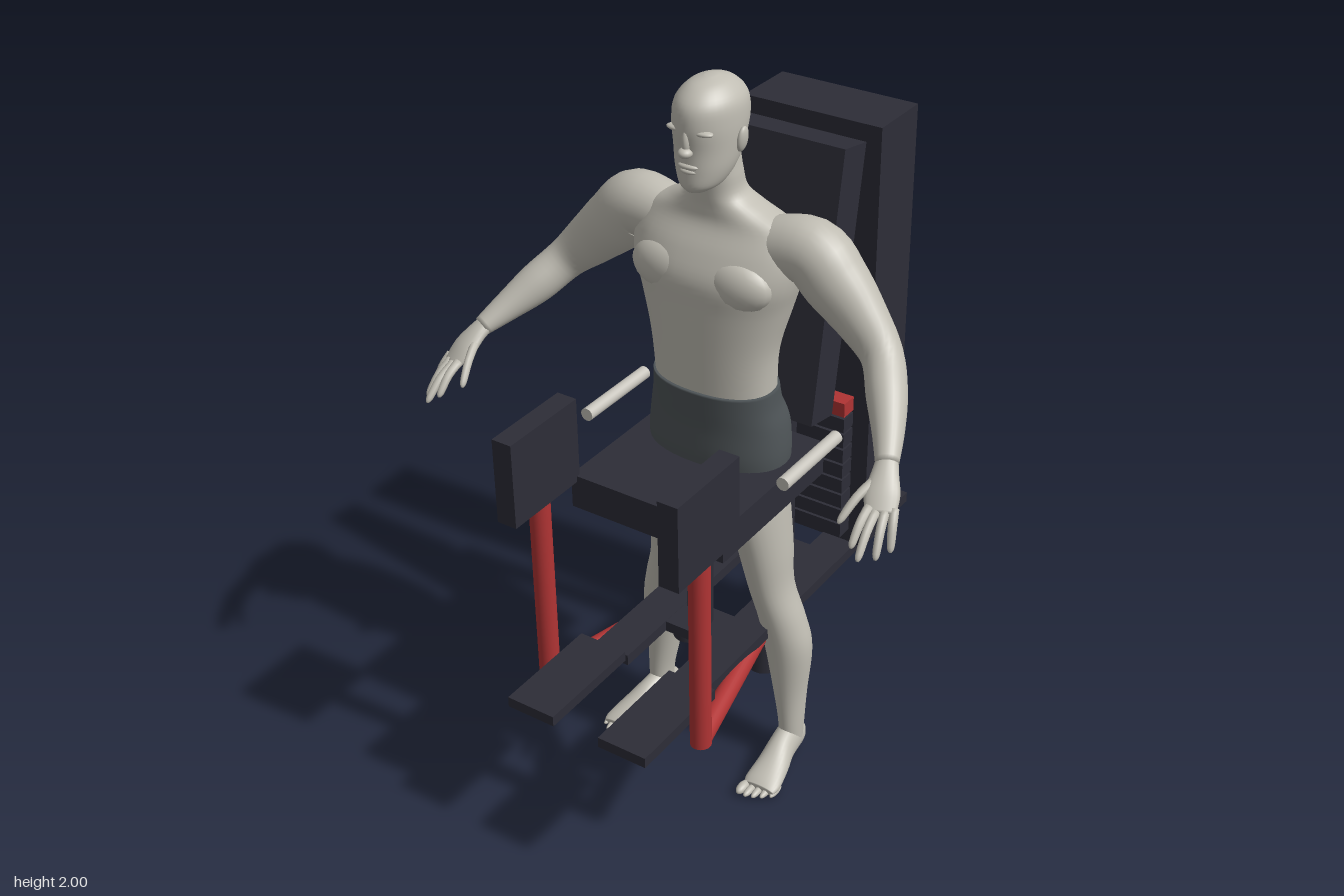
import * as THREE from 'three';

const mat = (name, color) => {
  const m = new THREE.MeshStandardMaterial({ color });
  m.name = name;
  return m;
};

export function createModel() {
  const dark = mat('charcoal', 0x2d2d37);
  const red = mat('red paint', 0xb03434);
  const skin = mat('pale clay', 0xc0bdb3);
  const cloth = mat('shorts grey', 0x4e5457);
  const grip = mat('light grip', 0xc6c3bb);

  const root = new THREE.Group();
  const machine = new THREE.Group();
  machine.name = 'exerciseMachine';
  const figure = new THREE.Group();
  figure.name = 'standingFigure';
  root.add(machine, figure);

  const add = (parent, name, geo, material, x = 0, y = 0, z = 0) => {
    const m = new THREE.Mesh(geo, material);
    m.name = name;
    m.position.set(x, y, z);
    parent.add(m);
    return m;
  };
  // Box given by its min and max on each axis
  const box = (name, material, x0, x1, y0, y1, z0, z1) =>
    add(machine, name, new THREE.BoxGeometry(x1 - x0, y1 - y0, z1 - z0), material,
      (x0 + x1) / 2, (y0 + y1) / 2, (z0 + z1) / 2);
  // Cylinder between two points
  const rod = (name, material, a, b, r) => {
    const p = new THREE.Vector3(...a), q = new THREE.Vector3(...b);
    const d = q.clone().sub(p);
    const m = add(machine, name, new THREE.CylinderGeometry(r, r, d.length(), 24), material);
    m.position.copy(p).add(q).multiplyScalar(0.5);
    m.quaternion.setFromUnitVectors(new THREE.Vector3(0, 1, 0), d.normalize());
  };
  const blob = (name, material, x, y, z, rx, ry, rz) => {
    const g = new THREE.SphereGeometry(1, 20, 14);
    g.scale(rx, ry, rz);
    return add(figure, name, g, material, x, y, z);
  };
  // Smooth body through stations [x, y, z, half width, half depth];
  // level keeps the rings horizontal, power below 1 squares them off
  const loft = (name, material, stations, { level = false, power = 1, seg = 28, sub = 5 } = {}) => {
    const n = stations.length;
    const at = (i) => stations[Math.max(0, Math.min(n - 1, i))];
    const rows = [];
    for (let i = 0; i < n - 1; i++) {
      for (let k = 0; k < sub; k++) {
        const t = k / sub;
        rows.push(at(i).map((b, c) => {
          const a = at(i - 1)[c], d = at(i + 1)[c], e = at(i + 2)[c];
          return b + 0.5 * t * (d - a + t * (2 * a - 5 * b + 4 * d - e + t * (3 * (b - d) + e - a)));
        }));
      }
    }
    rows.push(at(n - 1));
    const pos = [], idx = [];
    const up = new THREE.Vector3(0, 1, 0);
    const centre = (r) => new THREE.Vector3(r[0], r[1], r[2]);
    const bend = (v) => Math.sign(v) * Math.abs(v) ** power;
    rows.forEach((r, i) => {
      const u = new THREE.Vector3(1, 0, 0), v = new THREE.Vector3(0, 0, 1);
      if (!level) {
        const t = centre(rows[Math.min(i + 1, rows.length - 1)])
          .sub(centre(rows[Math.max(i - 1, 0)])).normalize();
        u.crossVectors(t, up).normalize();
        v.crossVectors(u, t);
      }
      for (let j = 0; j < seg; j++) {
        const a = (j / seg) * Math.PI * 2;
        const p = centre(r).addScaledVector(u, r[3] * bend(Math.cos(a)))
          .addScaledVector(v, r[4] * bend(Math.sin(a)));
        pos.push(p.x, p.y, p.z);
        if (i < rows.length - 1) {
          const A = i * seg + j, B = i * seg + (j + 1) % seg;
          idx.push(A, A + seg, B, B, A + seg, B + seg);
        }
      }
    });
    const last = (rows.length - 1) * seg, c0 = rows.length * seg;
    pos.push(...rows[0].slice(0, 3), ...rows[rows.length - 1].slice(0, 3));
    for (let j = 0; j < seg; j++) {
      const k = (j + 1) % seg;
      idx.push(c0, j, k, c0 + 1, last + k, last + j);
    }
    const g = new THREE.BufferGeometry();
    g.setAttribute('position', new THREE.Float32BufferAttribute(pos, 3));
    g.setIndex(idx);
    g.computeVertexNormals();
    return add(figure, name, g, material);
  };

  // Machine: tower, pads, posts and weights
  box('weightTower', dark, -0.205, 0.205, 0.455, 1.745, -0.582, -0.393);
  const back = add(machine, 'backPad', new THREE.BoxGeometry(0.41, 0.74, 0.107), dark, 0, 1.382, -0.196);
  back.rotation.x = -Math.PI / 18;
  box('seat', dark, -0.23, 0.23, 0.88, 0.977, -0.103, 0.377);
  rod('rearPost', dark, [0, 0.45, -0.283], [0, 1.38, -0.283], 0.035);
  rod('frontPost', dark, [0, 0.45, 0.137], [0, 0.9, 0.137], 0.035);
  for (let i = 0; i < 9; i++) {
    const y = 0.5 + i * 0.05;
    box(i === 8 ? 'topWeight' : 'weightPlate', i === 8 ? red : dark, -0.155, 0.155, y, y + 0.043, -0.4, -0.343);
  }
  box('frontCrossPlate', dark, -0.1, 0.1, 0.426, 0.457, 0.08, 0.2);
  box('rearCrossPlate', dark, -0.1, 0.1, 0.426, 0.457, -0.32, -0.23);

  for (const s of [-1, 1]) {
    const sideBox = (name, m, x0, x1, ...rest) =>
      box(name, m, Math.min(s * x0, s * x1), Math.max(s * x0, s * x1), ...rest);
    // Base rails, foot plates, swinging leg arms and handles
    sideBox('baseRail', dark, 0.072, 0.178, 0.426, 0.458, -0.705, 0.377);
    sideBox('footPlate', dark, 0.07, 0.213, 0.452, 0.482, 0.39, 0.702);
    sideBox('kneePad', dark, 0.212, 0.269, 0.96, 1.2, 0.365, 0.625);
    rod('pivotBarrel', dark, [s * 0.125, 0.27, 0.01], [s * 0.125, 0.43, 0.01], 0.046);
    rod('pivotTube', dark, [s * 0.125, 0.41, 0.01], [s * 0.125, 0.41, -0.34], 0.026);
    rod('swingArm', red, [s * 0.125, 0.41, 0.01], [s * 0.24, 0.41, 0.497], 0.028);
    rod('padPost', red, [s * 0.24, 0.395, 0.497], [s * 0.24, 0.965, 0.497], 0.028);
    rod('handle', grip, [s * 0.298, 1.047, -0.046], [s * 0.298, 1.047, 0.215], 0.018);
  }

  // Figure: torso with neck, head and shorts
  loft('torso', skin, [
    [0, 1.17, 0.055, 0.166, 0.106], [0, 1.3, 0.06, 0.175, 0.107], [0, 1.42, 0.05, 0.205, 0.122],
    [0, 1.5, 0.047, 0.228, 0.127], [0, 1.57, 0.035, 0.235, 0.112], [0, 1.63, 0.028, 0.21, 0.085],
    [0, 1.67, 0.035, 0.13, 0.073], [0, 1.705, 0.045, 0.075, 0.066], [0, 1.76, 0.055, 0.065, 0.062],
    [0, 1.81, 0.06, 0.06, 0.06],
  ], { level: true, power: 0.88, seg: 40 });
  loft('shorts', cloth, [
    [0, 0.93, 0.04, 0.195, 0.115], [0, 1.0, 0.038, 0.2, 0.125], [0, 1.08, 0.037, 0.192, 0.125],
    [0, 1.14, 0.05, 0.178, 0.115], [0, 1.19, 0.056, 0.173, 0.112],
  ], { level: true, power: 0.9, seg: 40 });
  loft('head', skin, [
    [0, 1.735, 0.13, 0.028, 0.035], [0, 1.752, 0.112, 0.052, 0.064], [0, 1.79, 0.094, 0.07, 0.084],
    [0, 1.84, 0.08, 0.079, 0.099], [0, 1.9, 0.073, 0.083, 0.113], [0, 1.95, 0.073, 0.077, 0.104],
    [0, 1.985, 0.073, 0.048, 0.066], [0, 2.0, 0.073, 0.012, 0.016],
  ], { level: true, seg: 36 });
  blob('noseBridge', skin, 0, 1.868, 0.176, 0.011, 0.034, 0.015);
  blob('noseTip', skin, 0, 1.842, 0.182, 0.018, 0.013, 0.02);
  blob('upperLip', skin, 0, 1.805, 0.171, 0.028, 0.008, 0.013);
  blob('lowerLip', skin, 0, 1.792, 0.169, 0.024, 0.008, 0.013);
  blob('chin', skin, 0, 1.76, 0.157, 0.028, 0.02, 0.02);

  for (const s of [-1, 1]) {
    const flip = (rows) => rows.map(([x, ...r]) => [s * x, ...r]);
    // Face and chest relief
    blob('ear', skin, s * 0.083, 1.855, 0.067, 0.011, 0.033, 0.02).rotation.z = -s * 0.15;
    blob('brow', skin, s * 0.034, 1.892, 0.163, 0.03, 0.008, 0.016);
    blob('eye', skin, s * 0.034, 1.872, 0.157, 0.014, 0.008, 0.011);
    blob('chestMuscle', skin, s * 0.1, 1.5, 0.118, 0.1, 0.07, 0.053);
    // Arm, shoulder to wrist
    loft('arm', skin, flip([
      [0.13, 1.575, 0.03, 0.07, 0.075], [0.25, 1.587, 0.02, 0.082, 0.086], [0.32, 1.525, 0.02, 0.078, 0.085],
      [0.4, 1.45, 0.028, 0.062, 0.07], [0.468, 1.385, 0.05, 0.052, 0.055], [0.52, 1.325, 0.115, 0.05, 0.053],
      [0.565, 1.275, 0.185, 0.039, 0.039], [0.6, 1.235, 0.25, 0.028, 0.025],
    ]));
    // Hand with spread fingers
    loft('palm', skin, flip([
      [0.593, 1.243, 0.235, 0.025, 0.022], [0.606, 1.222, 0.268, 0.032, 0.02],
      [0.62, 1.19, 0.305, 0.042, 0.019], [0.635, 1.158, 0.338, 0.036, 0.012],
    ]), { seg: 20 });
    const fingers = [
      [0.608, 1.17, 0.345, 0.61, 1.105, 0.428], [0.625, 1.163, 0.345, 0.637, 1.088, 0.444],
      [0.643, 1.162, 0.333, 0.665, 1.082, 0.41], [0.658, 1.167, 0.315, 0.68, 1.083, 0.366],
      [0.592, 1.21, 0.29, 0.557, 1.135, 0.395],
    ];
    for (const [x, y, z, X, Y, Z] of fingers) {
      const mix = (t, r) => [x + (X - x) * t, y + (Y - y) * t + 0.012 * Math.sin(t * Math.PI), z + (Z - z) * t, r, r];
      loft('finger', skin, flip([mix(0, 0.012), mix(0.5, 0.011), mix(0.9, 0.009), mix(1, 0.003)]), { seg: 10, sub: 3 });
    }
    // Leg, ankle to hip
    loft('leg', skin, flip([
      [0.217, 0.04, 0.015, 0.034, 0.04], [0.22, 0.11, 0.014, 0.034, 0.042], [0.212, 0.22, 0.01, 0.046, 0.05],
      [0.202, 0.37, 0.008, 0.066, 0.064], [0.185, 0.47, 0.018, 0.064, 0.066], [0.158, 0.58, 0.032, 0.06, 0.07],
      [0.142, 0.7, 0.036, 0.068, 0.088], [0.122, 0.86, 0.048, 0.075, 0.108], [0.11, 0.96, 0.045, 0.078, 0.112],
    ]), { level: true });
    // Foot and toes
    loft('foot', skin, flip([
      [0.215, 0.034, -0.035, 0.012, 0.018], [0.215, 0.043, -0.022, 0.03, 0.04], [0.217, 0.054, 0.02, 0.036, 0.053],
      [0.222, 0.05, 0.07, 0.038, 0.049], [0.231, 0.036, 0.13, 0.046, 0.035], [0.237, 0.024, 0.19, 0.052, 0.022],
      [0.238, 0.019, 0.215, 0.046, 0.014],
    ]));
    for (let i = 0; i < 5; i++) {
      const r = i === 0 ? 0.014 : 0.011 - i * 0.0005;
      blob('toe', skin, s * (0.198 + i * 0.0205), r + 0.004, 0.232 - i * i * 0.0024, r, r, 0.028);
    }
  }
  return root;
}
